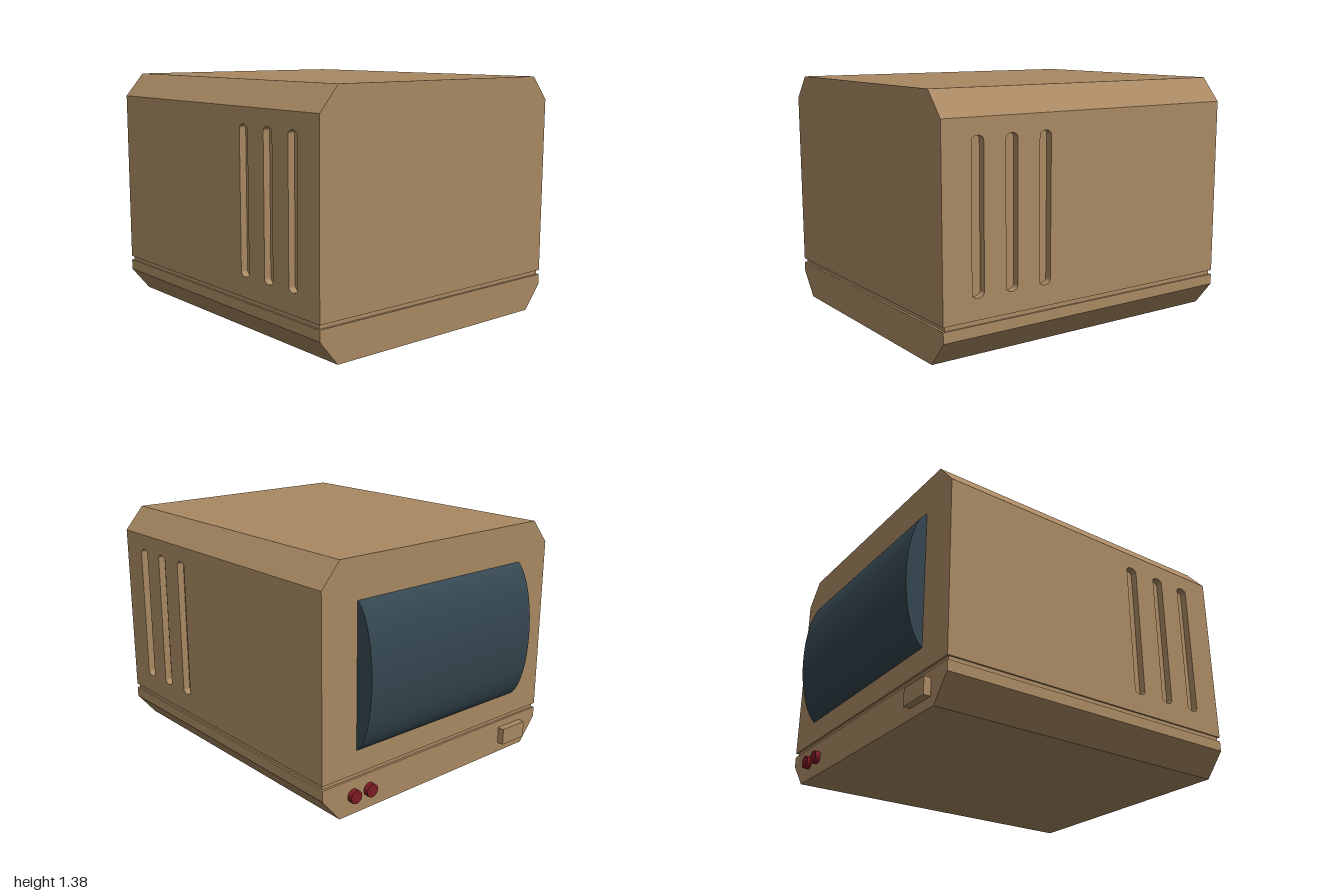
import * as THREE from 'three';
import { toCreasedNormals } from 'three/addons/utils/BufferGeometryUtils.js';

const LEFT = 1, RIGHT = -0.89; // ends of the housing along x
const tan = new THREE.MeshStandardMaterial({ color: 0xa98963 });
const glass = new THREE.MeshStandardMaterial({ color: 0x34464f });
const red = new THREE.MeshStandardMaterial({ color: 0x7a1a22 });

function addMesh(parent, name, geometry, material) {
  const mesh = new THREE.Mesh(geometry, material);
  mesh.name = name;
  parent.add(mesh);
  return mesh;
}

// Half profile of [z, y] points, bottom to top, mirrored in z and extruded along x
function profileAlongX(half, x0, x1) {
  const mirrored = half.map(([z, y]) => [-z, y]).reverse();
  const shape = new THREE.Shape([...half, ...mirrored].map(([z, y]) => new THREE.Vector2(z, y)));
  const geometry = new THREE.ExtrudeGeometry(shape, { depth: x1 - x0, bevelEnabled: false });
  return geometry.rotateY(Math.PI / 2).translate(x0, 0, 0);
}

// Upright slot with shallow rounded ends
function slotPath(cx, y0, y1, halfWidth, endHeight) {
  const path = new THREE.Path();
  path.absellipse(cx, y1 - endHeight, halfWidth, endHeight, 0, Math.PI, false);
  path.absellipse(cx, y0 + endHeight, halfWidth, endHeight, Math.PI, Math.PI * 2, false);
  path.closePath();
  return path;
}

export function createModel() {
  const model = new THREE.Group();
  model.name = 'monitor';
  const slotDepth = 0.04;

  // Housing: chamfered base, recessed seam and upper shell
  addMesh(model, 'base', profileAlongX([[0.735, 0], [0.85, 0.14], [0.85, 0.2]], RIGHT, LEFT), tan);
  addMesh(model, 'seam', profileAlongX([[0.84, 0.2], [0.84, 0.225]], RIGHT + 0.013, LEFT - 0.013), tan);
  const inner = 0.85 - slotDepth;
  addMesh(model, 'upperShell', profileAlongX(
    [[inner, 0.225], [inner, 1.245], [0.85, 1.245], [0.735, 1.38]], RIGHT, LEFT), tan);

  // Front and back panels with vent slots
  const panel = new THREE.Shape([[RIGHT, 0.225], [LEFT, 0.225], [LEFT, 1.245], [RIGHT, 1.245]]
    .map(([x, y]) => new THREE.Vector2(x, y)));
  for (const x of [0.377, 0.588, 0.793]) panel.holes.push(slotPath(x, 0.34, 1.155, 0.036, 0.025));
  for (const [name, z] of [['frontVentPanel', inner], ['backVentPanel', -0.85]]) {
    const geometry = new THREE.ExtrudeGeometry(panel, { depth: slotDepth, bevelEnabled: false, curveSegments: 8 });
    addMesh(model, name, geometry.translate(0, 0, z), tan);
  }

  // Bulging screen on the right end
  const screen = new THREE.Shape();
  const a = Math.acos(0.03 / 0.14);
  screen.absellipse(-0.86, 0.757, 0.14, 0.411, Math.PI - a, Math.PI + a, false);
  screen.closePath();
  const screenGeometry = new THREE.ExtrudeGeometry(screen, { depth: 1.23, bevelEnabled: false, curveSegments: 32 });
  addMesh(model, 'screen', toCreasedNormals(screenGeometry.translate(0, 0, -0.62), 0.6), glass);

  // Control knobs and button below the screen
  for (const z of [-0.642, -0.53]) {
    const knob = addMesh(model, 'knob', toCreasedNormals(
      new THREE.CylinderGeometry(0.038, 0.038, 0.04, 12).rotateZ(Math.PI / 2), 0.6), red);
    knob.position.set(RIGHT - 0.01, 0.107, z);
  }
  const button = addMesh(model, 'button', new THREE.BoxGeometry(0.05, 0.098, 0.19), tan);
  button.position.set(RIGHT - 0.015, 0.107, 0.612);

  return model;
}
